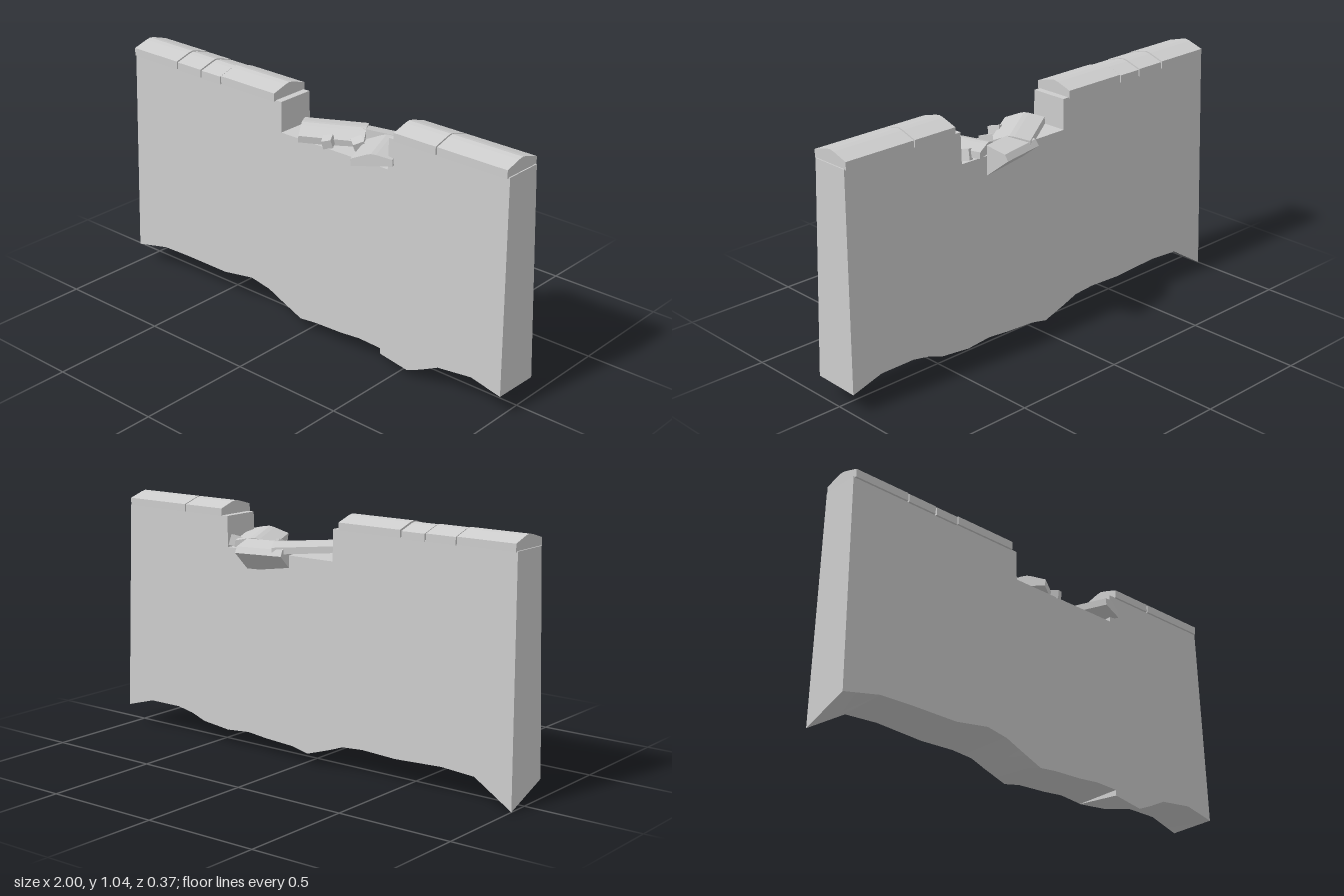
import * as THREE from 'three';
import { toCreasedNormals } from 'three/addons/utils/BufferGeometryUtils.js';

const stone = new THREE.MeshStandardMaterial({ color: 0xcccccc });
stone.name = 'paleStone';

// battered wall faces: thicker at the foot than at the top
const frontZ = y => 0.117 - 0.022 * y;
const backZ = y => -0.092 + 0.022 * y;

// stations: [x at foot, x at top, front foot y, back foot y]
function wallSection(name, topY, stations) {
  const pos = [], idx = [];
  stations.forEach(([x, xt, f, b]) => pos.push(
    x, f, frontZ(f), xt, topY, frontZ(topY), xt, topY, backZ(topY), x, b, backZ(b)));
  const n = stations.length;
  for (let i = 0; i < n - 1; i++) {
    for (let k = 0; k < 4; k++) {
      const a = i * 4 + k, d = i * 4 + (k + 1) % 4;
      idx.push(a, a + 4, d + 4, a, d + 4, d);
    }
  }
  const e = (n - 1) * 4;
  idx.push(0, 1, 2, 0, 2, 3, e, e + 3, e + 2, e, e + 2, e + 1);
  const g = new THREE.BufferGeometry();
  g.setAttribute('position', new THREE.Float32BufferAttribute(pos, 3));
  g.setIndex(idx);
  const mesh = new THREE.Mesh(toCreasedNormals(g, 0.5), stone);
  mesh.name = name;
  return mesh;
}

// extrude a (z, y) profile along x, centred on its length
function prism(name, profile, length) {
  const shape = new THREE.Shape(profile.map(([z, y]) => new THREE.Vector2(-z, y)));
  const g = new THREE.ExtrudeGeometry(shape, { depth: length, bevelEnabled: false });
  g.translate(0, 0, -length / 2);
  g.rotateY(Math.PI / 2);
  const mesh = new THREE.Mesh(g, stone);
  mesh.name = name;
  return mesh;
}

const copingProfile = [[0.09, 0], [0.09, 0.034], [0.022, 0.054], [0, 0.058],
  [-0.022, 0.054], [-0.09, 0.032], [-0.09, 0]];

export function createModel() {
  const model = new THREE.Group();
  model.name = 'brokenWall';

  // wall body
  model.add(
    wallSection('leftWall', 0.985, [
      [-1, -0.985, 0.08, 0], [-0.83, -0.83, 0.118, 0.105], [-0.68, -0.68, 0.122, 0.115],
      [-0.46, -0.46, 0.122, 0.105], [-0.3, -0.3, 0.148, 0.112], [-0.2, -0.2, 0.13, 0.105],
      [-0.13, -0.135, 0.1, 0.08]]),
    wallSection('brokenMiddleWall', 0.855, [
      [-0.13, -0.135, 0.1, 0.08], [-0.02, -0.02, 0.055, 0.045], [0.06, 0.06, 0.064, 0.062],
      [0.2, 0.2, 0.07, 0.07], [0.3, 0.3, 0.08, 0.08], [0.42, 0.42, 0.076, 0.07]]),
    wallSection('rightWall', 0.985, [
      [0.41, 0.42, 0.052, 0.07], [0.55, 0.55, 0.03, 0.085], [0.62, 0.62, 0.06, 0.11],
      [0.7, 0.7, 0.1, 0.125], [0.86, 0.86, 0.12, 0.125], [1, 0.98, 0.09, 0.085]]));

  // ridged coping stones: [x start, x end, lift]
  [[-0.98, -0.723, 0], [-0.717, -0.582, -0.002], [-0.576, -0.468, -0.004], [-0.462, -0.165, 0],
    [0.45, 0.65, 0], [0.656, 0.975, 0]].forEach(([a, b, lift], i) => {
    const cap = prism('copingStone' + (i + 1), copingProfile, b - a);
    cap.position.set((a + b) / 2, 0.982 + lift, 0.015);
    model.add(cap);
  });

  // fallen coping stones in the gap
  const fallenLeft = prism('fallenCopingLeft', copingProfile, 0.26);
  fallenLeft.scale.set(1, 0.85, 0.92);
  fallenLeft.position.set(0.055, 0.862, -0.005);
  fallenLeft.rotation.set(0.1, 0.57, -0.04, 'YXZ');
  const fallenRight = prism('fallenCopingRight', copingProfile, 0.24);
  fallenRight.scale.set(1, 0.85, 0.92);
  fallenRight.position.set(0.33, 0.866, 0.04);
  fallenRight.rotation.set(0.1, -1.13, 0.06, 'YXZ');

  // chunk hanging over the back
  const chunk = prism('hangingChunk',
    [[0.04, 0.905], [-0.045, 0.885], [-0.06, 0.86], [0.04, 0.78]], 0.21);
  chunk.position.set(0.19, 0, -0.105);
  chunk.rotation.y = 0.2;
  model.add(fallenLeft, fallenRight, chunk);

  // small rubble: [x, y, z, size, turn]
  [[0.1, 0.875, 0.08, 0.04, 0.5], [0.205, 0.875, 0.02, 0.045, 0.9],
    [0.39, 0.88, -0.05, 0.05, 0.6]].forEach(([x, y, z, s, r], i) => {
    const rock = new THREE.Mesh(new THREE.BoxGeometry(s, s * 0.9, s * 1.2), stone);
    rock.name = 'rubble' + (i + 1);
    rock.position.set(x, y, z);
    rock.rotation.set(0.2, r, 0.15);
    model.add(rock);
  });

  return model;
}
